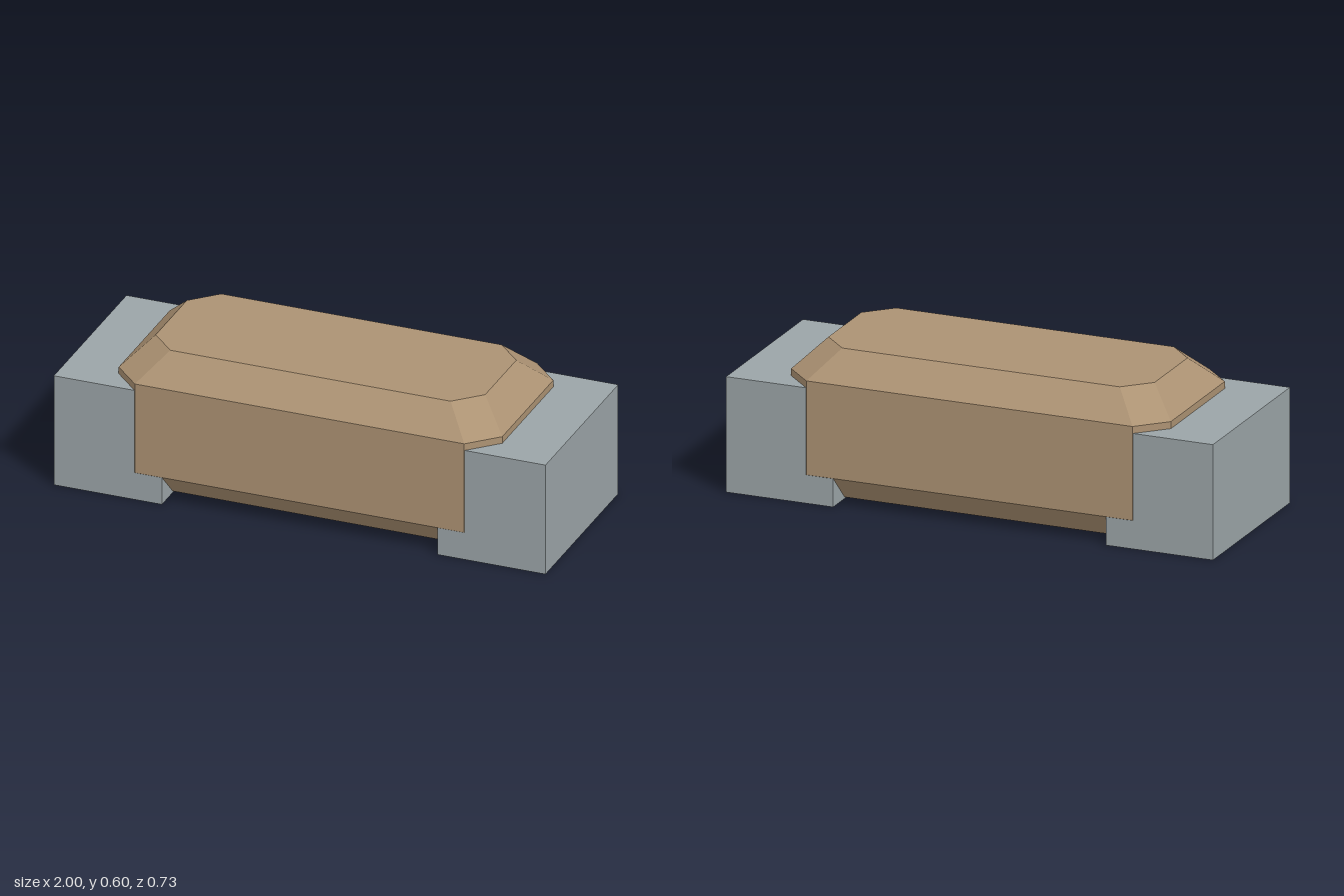
import * as THREE from 'three';

// Octagonal outline: a rectangle with its corners cut by c
function octagon(y, hx, hz, c) {
  return [
    [hx, hz - c], [hx - c, hz], [c - hx, hz], [-hx, hz - c],
    [-hx, c - hz], [c - hx, -hz], [hx - c, -hz], [hx, c - hz],
  ].map(([x, z]) => new THREE.Vector3(x, y, z));
}

// Flat-faced solid from stacked outlines, bottom to top
function stackOutlines(rings) {
  const points = [];
  const n = rings[0].length;
  for (let r = 0; r < rings.length - 1; r++) {
    const low = rings[r], high = rings[r + 1];
    for (let i = 0; i < n; i++) {
      const j = (i + 1) % n;
      points.push(low[i], high[i], low[j], low[j], high[i], high[j]);
    }
  }
  const bottom = rings[0], top = rings[rings.length - 1];
  for (let i = 1; i < n - 1; i++) {
    points.push(bottom[0], bottom[i], bottom[i + 1]);
    points.push(top[0], top[i + 1], top[i]);
  }
  const geometry = new THREE.BufferGeometry().setFromPoints(points);
  geometry.computeVertexNormals();
  return geometry;
}

export function createModel() {
  const model = new THREE.Group();
  model.name = 'chipComponent';
  const tan = new THREE.MeshStandardMaterial({ color: 0xac9273 });
  tan.name = 'tan body';
  const grey = new THREE.MeshStandardMaterial({ color: 0x9ba4a7 });
  grey.name = 'grey metal';

  // Bevelled body, a hair proud of the end blocks
  const body = new THREE.Mesh(stackOutlines([
    octagon(0.006, 0.67, 0.256, 0.1),
    octagon(0.114, 0.78, 0.366, 0.11),
    octagon(0.488, 0.78, 0.366, 0.11),
    octagon(0.598, 0.67, 0.256, 0.1),
  ]), tan);
  body.name = 'body';
  model.add(body);

  // End blocks
  const blockGeometry = new THREE.BoxGeometry(0.44, 0.46, 0.73);
  for (const side of [1, -1]) {
    const block = new THREE.Mesh(blockGeometry, grey);
    block.name = side > 0 ? 'leftTerminal' : 'rightTerminal';
    block.position.set(side * 0.78, 0.23, 0);
    model.add(block);
  }
  return model;
}
